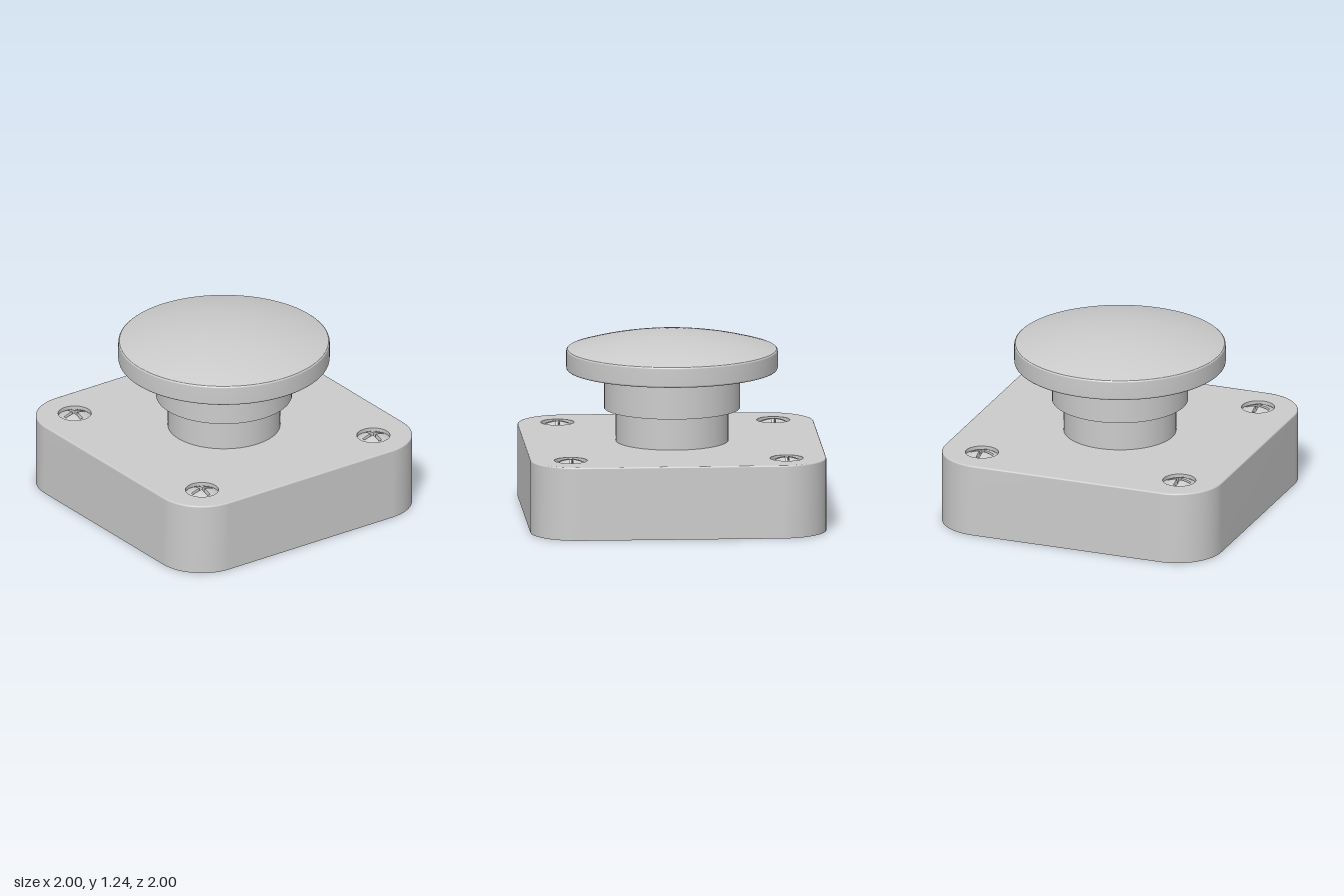
import * as THREE from 'three';
import { mergeGeometries } from 'three/addons/utils/BufferGeometryUtils.js';

const grey = new THREE.MeshStandardMaterial({ color: 0xcccccc });
const greyThin = new THREE.MeshStandardMaterial({ color: 0xcccccc, side: THREE.DoubleSide });

function mesh(name, geometry, material = grey) {
  const m = new THREE.Mesh(geometry, material);
  m.name = name;
  return m;
}

// Turned part: each run of [radius, y] points is smooth, edges between runs stay sharp
function turned(name, runs, material) {
  const parts = runs.map(run =>
    new THREE.LatheGeometry(run.map(([r, y]) => new THREE.Vector2(r, y)), 72));
  return mesh(name, mergeGeometries(parts), material);
}

// Skin over closed rings of [x, y, z] points
function loft(rings) {
  const n = rings[0].length;
  const index = [];
  for (let i = 0; i < rings.length - 1; i++) {
    for (let j = 0; j < n; j++) {
      const a = i * n + j, b = i * n + (j + 1) % n;
      index.push(a, a + n, b, b, a + n, b + n);
    }
  }
  const g = new THREE.BufferGeometry();
  g.setAttribute('position', new THREE.Float32BufferAttribute(rings.flat(2), 3));
  g.setIndex(index);
  g.computeVertexNormals();
  return g;
}

// Rounded square outline, half size h and corner radius r, as [x, z] points
function roundedSquare(h, r) {
  const pts = [];
  for (let q = 0; q < 4; q++) {
    const mid = (q + 0.5) * Math.PI / 2;
    const cx = Math.sign(Math.cos(mid)) * (h - r), cz = Math.sign(Math.sin(mid)) * (h - r);
    for (let i = 0; i <= 16; i++) {
      const t = (q + i / 16) * Math.PI / 2;
      pts.push([cx + r * Math.cos(t), cz + r * Math.sin(t)]);
    }
  }
  return pts;
}

const TOP = 0.5, CORNER = 0.32, EDGE = 0.01;
const SCREW_R = 0.112, SCREW_X = 0.73, SCREW_Z = 0.715;

// Hollow housing, open underneath, with a softened top edge
function createHousing() {
  const group = new THREE.Group();
  group.name = 'housing';
  const ring = (inset, y) =>
    roundedSquare(1 - inset, CORNER - inset).map(([x, z]) => [x, y, z]);
  const rings = [ring(0, 0), ring(0, TOP - EDGE)];
  for (let i = 1; i <= 3; i++) {
    const t = i / 3 * Math.PI / 2;
    rings.push(ring(EDGE * (1 - Math.cos(t)), TOP - EDGE + EDGE * Math.sin(t)));
  }
  group.add(mesh('housingWall', loft(rings), greyThin));

  const shape = new THREE.Shape(
    roundedSquare(1 - EDGE, CORNER - EDGE).map(([x, z]) => new THREE.Vector2(x, z)));
  for (const sx of [-1, 1]) for (const sz of [-1, 1]) {
    const hole = new THREE.Path();
    hole.absarc(sx * SCREW_X, sz * SCREW_Z, SCREW_R, 0, Math.PI * 2, true);
    shape.holes.push(hole);
  }
  const plate = new THREE.ShapeGeometry(shape, 24).rotateX(-Math.PI / 2).translate(0, TOP, 0);
  group.add(mesh('topPlate', plate, greyThin));
  return group;
}

// Cross-shaped outline of the driver slot as [x, z] points
function crossOutline(length, width) {
  const pts = [];
  const steps = 6;
  for (let q = 0; q < 4; q++) {
    const c = Math.round(Math.cos(q * Math.PI / 2)), s = Math.round(Math.sin(q * Math.PI / 2));
    const add = (x, z) => pts.push([x * c - z * s, x * s + z * c]);
    for (let i = 0; i <= steps; i++) add(length + (width - length) * i / steps, width);
    for (let i = 1; i <= steps; i++) add(width, width + (length - width) * i / steps);
  }
  return pts;
}

// Domed screw head with a tapering cross slot and a short collar
function createScrew() {
  const group = new THREE.Group();
  group.name = 'screw';
  const domeY = r => 0.51 - 2.8 * r * r;
  const cross = crossOutline(0.08, 0.012);

  const rings = [];
  for (let i = 0; i <= 5; i++) {
    rings.push(cross.map(([x, z]) => {
      const r = Math.hypot(x, z);
      const k = (SCREW_R + (r - SCREW_R) * i / 5) / r;
      return [x * k, domeY(r * k), z * k];
    }));
  }
  group.add(mesh('screwHead', loft(rings), greyThin));

  const slot = loft([
    rings[5],
    cross.map(([x, z]) => [x * 0.25, 0.43, z * 0.25]),
    cross.map(() => [0, 0.42, 0]),
  ]).toNonIndexed();
  slot.computeVertexNormals();
  group.add(mesh('screwSlot', slot, greyThin));
  group.add(turned('screwCollar', [[[SCREW_R, 0.46], [SCREW_R, TOP]]], greyThin));
  return group;
}

// Mushroom push button on its stepped stem
function createButton() {
  const group = new THREE.Group();
  group.name = 'button';
  group.add(turned('stem', [[[0.38, TOP], [0.38, 0.725]]], greyThin));
  group.add(turned('sleeve', [
    [[0.38, 0.725], [0.46, 0.725]],
    [[0.46, 0.725], [0.46, 0.99]],
  ], greyThin));

  const rim = [[0.7, 0.987], [0.707, 0.989], [0.712, 0.994], [0.714, 1.002],
    [0.714, 1.115], [0.712, 1.122], [0.706, 1.127]];
  const dome = [];
  for (let i = 0; i <= 20; i++) {
    const r = 0.706 * (1 - i / 20);
    dome.push([r, 1.235 - 0.108 * (r / 0.706) ** 2]);
  }
  group.add(turned('buttonCap', [[[0, 0.987], [0.7, 0.987]], rim, dome]));
  return group;
}

export function createModel() {
  const model = new THREE.Group();
  model.name = 'mushroomPushButton';
  model.add(createHousing(), createButton());
  for (const sx of [-1, 1]) for (const sz of [-1, 1]) {
    const screw = createScrew();
    screw.position.set(sx * SCREW_X, 0, sz * SCREW_Z);
    model.add(screw);
  }
  return model;
}
